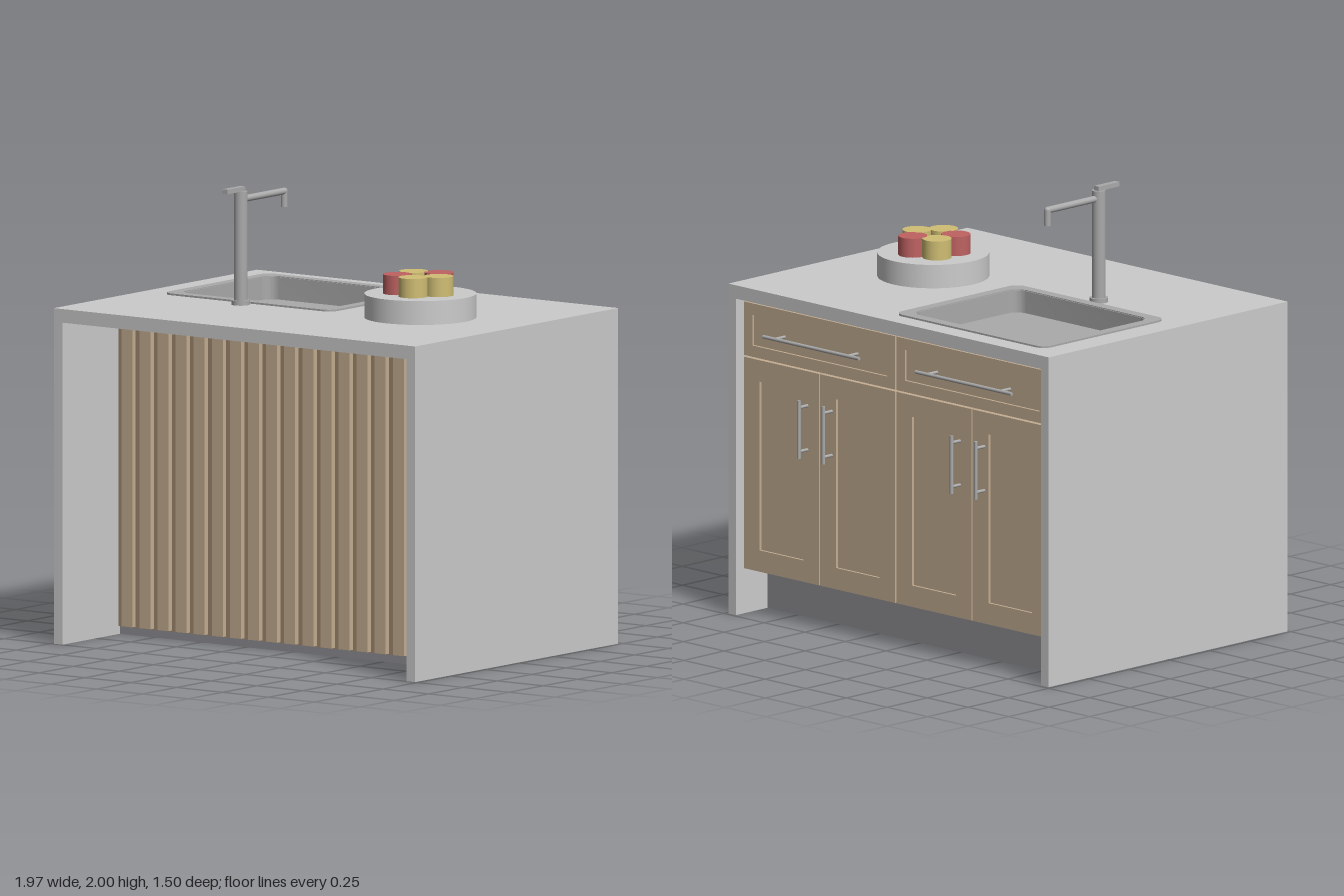
import * as THREE from 'three';
import { toCreasedNormals } from 'three/addons/utils/BufferGeometryUtils.js';

const mat = (color) => new THREE.MeshStandardMaterial({ color });
const stone = mat(0xcccccc);
const steel = mat(0xaaaaaa);
const plinthGrey = mat(0x8e8e94);
const wood = mat(0xc4ae92);
const darkWood = mat(0xa08870);
const red = mat(0xbf6262);
const yellow = mat(0xd0be74);

function add(parent, name, geometry, material, x = 0, y = 0, z = 0) {
  const mesh = new THREE.Mesh(geometry, material);
  mesh.name = name;
  mesh.position.set(x, y, z);
  parent.add(mesh);
  return mesh;
}

// Box given by its extents
function box(parent, name, material, x0, x1, y0, y1, z0, z1) {
  return add(parent, name, new THREE.BoxGeometry(x1 - x0, y1 - y0, z1 - z0), material,
    (x0 + x1) / 2, (y0 + y1) / 2, (z0 + z1) / 2);
}

// Round bar between two points
function rod(parent, name, material, a, b, r, rEnd = r) {
  const from = new THREE.Vector3(...a), to = new THREE.Vector3(...b);
  const dir = to.clone().sub(from);
  const mesh = add(parent, name, new THREE.CylinderGeometry(rEnd, r, dir.length(), 20), material);
  mesh.position.copy(from).add(to).multiplyScalar(0.5);
  mesh.quaternion.setFromUnitVectors(new THREE.Vector3(0, 1, 0), dir.normalize());
  return mesh;
}

// Rectangle outline with optional rounded corners
function rect(x0, x1, y0, y1, r = 0, target = new THREE.Shape()) {
  if (!r) {
    target.moveTo(x0, y0).lineTo(x1, y0).lineTo(x1, y1).lineTo(x0, y1).closePath();
    return target;
  }
  target.moveTo(x0 + r, y0);
  target.absarc(x1 - r, y0 + r, r, -Math.PI / 2, 0);
  target.absarc(x1 - r, y1 - r, r, 0, Math.PI / 2);
  target.absarc(x0 + r, y1 - r, r, Math.PI / 2, Math.PI);
  target.absarc(x0 + r, y0 + r, r, Math.PI, Math.PI * 1.5);
  return target;
}

function extrude(shape, hole, depth) {
  if (hole) shape.holes.push(hole);
  const g = new THREE.ExtrudeGeometry(shape, { depth, bevelEnabled: false, curveSegments: 8 });
  return toCreasedNormals(g, 0.6);
}

// Horizontal slab whose outline lies in x and z, with its top at y
function slab(parent, name, material, shape, hole, top, depth) {
  return add(parent, name, extrude(shape, hole, depth).rotateX(Math.PI / 2), material, 0, top, 0);
}

// Shaker front on the back side: a frame around a recessed panel
function shakerFront(parent, name, x0, x1, y0, y1, margin) {
  const g = new THREE.Group();
  g.name = name;
  const gap = 0.004;
  const inner = [x0 + margin, x1 - margin, y0 + margin, y1 - margin];
  add(g, 'frame', extrude(rect(x0 + gap, x1 - gap, y0 + gap, y1 - gap),
    rect(...inner, 0, new THREE.Path()), 0.03), wood, 0, 0, -0.69);
  box(g, 'recessedPanel', wood, ...inner, -0.678, -0.66);
  parent.add(g);
  return g;
}

// Bar handle on two posts
function handle(parent, a, b) {
  const z = -0.742;
  rod(parent, 'handleBar', steel, [...a, z], [...b, z], 0.008);
  for (const t of [0.12, 0.88]) {
    const x = a[0] + (b[0] - a[0]) * t, y = a[1] + (b[1] - a[1]) * t;
    rod(parent, 'handlePost', steel, [x, y, -0.68], [x, y, z], 0.007);
  }
}

export function createModel() {
  const model = new THREE.Group();
  model.name = 'kitchenIsland';

  // Worktop with sink cut-out and waterfall sides
  const opening = [-0.81, 0.01, -0.59, 0.07];
  slab(model, 'worktop', stone, rect(-0.985, 0.985, -0.735, 0.745),
    rect(...opening, 0.06, new THREE.Path()), 1.48, 0.06);
  for (const s of [-1, 1]) {
    const x = s * 0.9615;
    box(model, 'sidePanel', stone, x - 0.0235, x + 0.0235, 0, 1.42, -0.735, 0.745);
  }

  // Cabinet body and recessed plinth
  box(model, 'plinth', plinthGrey, -0.938, 0.938, 0, 0.2, -0.54, 0.325);
  box(model, 'cabinetBody', plinthGrey, -0.938, 0.938, 0.2, 1.36, -0.66, 0.325);
  box(model, 'frontRail', plinthGrey, -0.938, 0.938, 1.36, 1.42, 0.29, 0.325);
  box(model, 'backRail', plinthGrey, -0.938, 0.938, 1.36, 1.42, -0.66, -0.63);

  // Slatted front
  box(model, 'slatBacking', darkWood, -0.938, 0.938, 0.035, 1.405, 0.325, 0.335);
  for (let i = 0; i < 18; i++) {
    const x = -0.875 + i * 0.0987;
    box(model, 'slat', wood, x - 0.03, x + 0.03, 0.04, 1.405, 0.335, 0.36);
  }

  // Drawers and doors on the back
  for (const s of [-1, 1]) {
    const c = s * 0.469;
    const drawer = shakerFront(model, 'drawer', c - 0.469, c + 0.469, 1.157, 1.405, 0.055);
    handle(drawer, [c - 0.295, 1.28], [c + 0.295, 1.28]);
    for (const d of [-1, 1]) {
      const x = c + d * 0.2345;
      const door = shakerFront(model, 'door', x - 0.2345, x + 0.2345, 0.2, 1.157, 0.1);
      handle(door, [c + d * 0.075, 0.77], [c + d * 0.075, 1.03]);
    }
  }

  // Sink: rim, walls and floor
  const sink = new THREE.Group();
  sink.name = 'sink';
  model.add(sink);
  const [x0, x1, z0, z1] = opening;
  const bowl = [x0 + 0.004, x1 - 0.004, z0 + 0.004, z1 - 0.004];
  slab(sink, 'sinkRim', steel, rect(-0.86, 0.06, -0.64, 0.12, 0.05),
    rect(...opening, 0.06, new THREE.Path()), 1.488, 0.008);
  slab(sink, 'sinkWalls', steel, rect(...opening, 0.06),
    rect(...bowl, 0.056, new THREE.Path()), 1.484, 0.11);
  slab(sink, 'sinkFloor', steel, rect(...bowl, 0.056), null, 1.385, 0.01);

  // Tap
  const tap = new THREE.Group();
  tap.name = 'tap';
  tap.position.set(-0.4, 0, 0.165);
  model.add(tap);
  rod(tap, 'tapBase', steel, [0, 1.48, 0], [0, 1.5, 0], 0.041);
  rod(tap, 'tapColumn', steel, [0, 1.5, 0], [0, 1.98, 0], 0.03);
  rod(tap, 'spout', steel, [0, 1.944, 0], [0, 1.944, -0.318], 0.015);
  add(tap, 'spoutElbow', new THREE.SphereGeometry(0.015, 16, 10), steel, 0, 1.944, -0.318);
  rod(tap, 'spoutNozzle', steel, [0, 1.875, -0.318], [0, 1.944, -0.318], 0.015);
  box(tap, 'tapLever', steel, -0.014, 0.014, 1.98, 2, -0.015, 0.115);

  // Round stand with a ring of jars
  const stand = new THREE.Group();
  stand.name = 'stand';
  stand.position.set(0.46, 0, 0.005);
  model.add(stand);
  add(stand, 'standDisc', new THREE.CylinderGeometry(0.245, 0.245, 0.105, 64), stone, 0, 1.5325, 0);
  [yellow, yellow, red, yellow, red].forEach((m, i) => {
    const a = i * Math.PI * 0.4;
    add(stand, 'jar', new THREE.CylinderGeometry(0.064, 0.064, 0.085, 32), m,
      0.1 * Math.cos(a), 1.6275, 0.1 * Math.sin(a));
  });

  return model;
}
